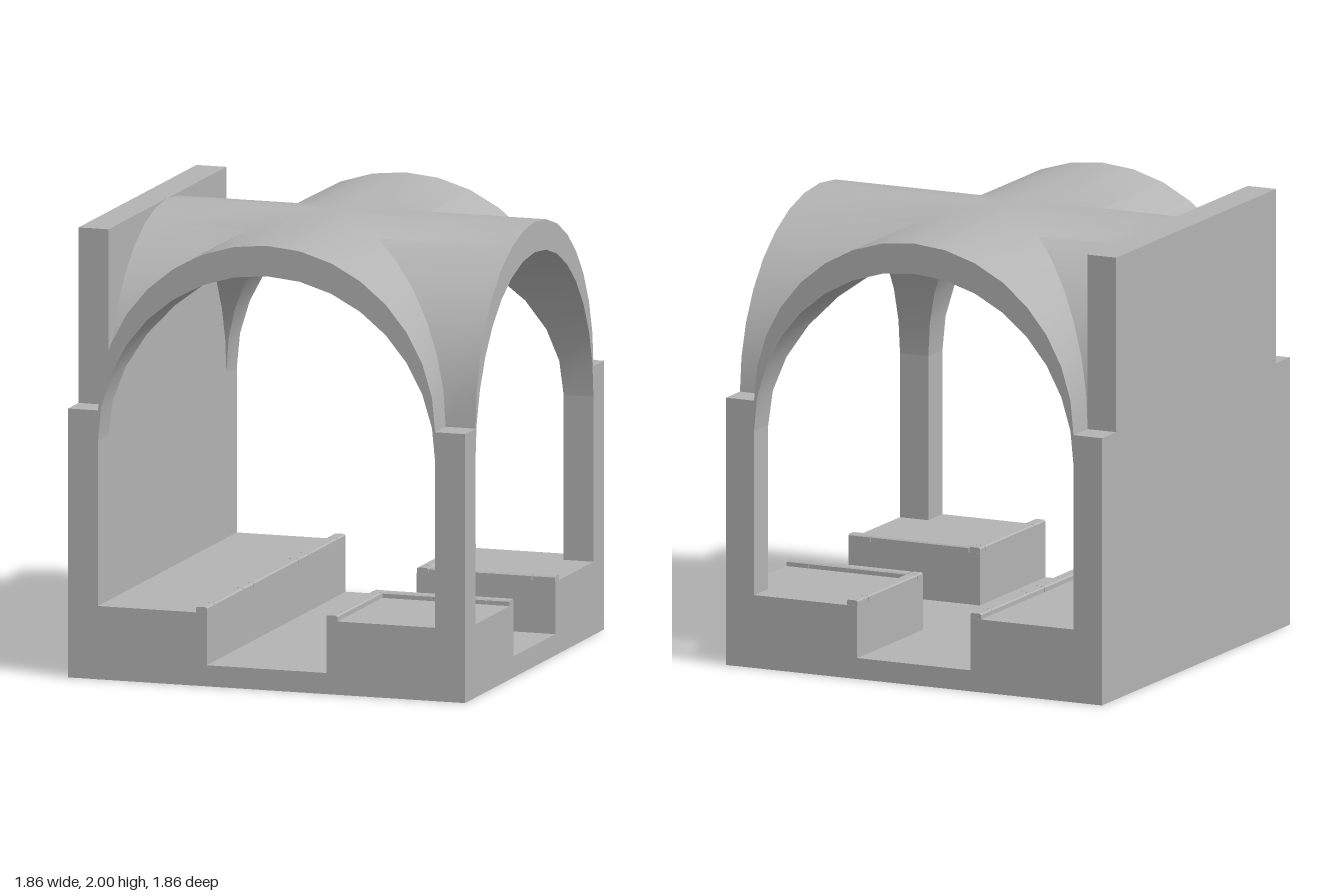
import * as THREE from 'three';
import { toCreasedNormals } from 'three/addons/utils/BufferGeometryUtils.js';

const HALF = 0.93;      // half footprint
const IN = 0.79;        // inner face of posts and wall, also vault radius
const CH = 0.28;        // half width of the channels
const FLOOR = 0.095, WALK = 0.33, SPRING = 1.21, DROP = 0.137, TOP = 2;

const stone = new THREE.MeshStandardMaterial({ color: 0xb4b4b4 });
stone.name = 'stone grey';

export function createModel() {
  const group = new THREE.Group();
  group.name = 'vaultedJunction';

  const add = (name, geometry) => {
    const mesh = new THREE.Mesh(geometry, stone);
    mesh.name = name;
    group.add(mesh);
    return mesh;
  };

  // box given by its min and max corners
  const block = (name, x0, x1, y0, y1, z0, z1) => {
    const mesh = add(name, new THREE.BoxGeometry(x1 - x0, y1 - y0, z1 - z0));
    mesh.position.set((x0 + x1) / 2, (y0 + y1) / 2, (z0 + z1) / 2);
  };

  // floor and raised walkways around the T-shaped channel
  block('channelFloor', -HALF, HALF, 0, FLOOR, -HALF, HALF);
  block('longWalkway', -HALF, -CH, FLOOR, WALK, -HALF, HALF);
  block('frontCornerWalkway', CH, HALF, FLOOR, WALK, CH, HALF);
  block('backCornerWalkway', CH, HALF, FLOOR, WALK, -HALF, -CH);

  // corner posts and the closed side wall
  for (const sx of [-1, 1]) for (const sz of [-1, 1]) {
    const x = sx > 0 ? IN : -HALF, z = sz > 0 ? IN : -HALF;
    block('cornerPost', x, x + HALF - IN, WALK, SPRING, z, z + HALF - IN);
  }
  block('sideWall', -HALF, -IN, WALK, TOP, -IN, IN);

  // chamfered curb stone running along z, centred on its own middle
  const curbGeometry = length => {
    const w = 0.026, h = 0.025, c = 0.006;
    const shape = new THREE.Shape([
      [-w, 0], [w, 0], [w, h - c], [w - c, h], [c - w, h], [-w, h - c],
    ].map(([x, y]) => new THREE.Vector2(x, y)));
    return new THREE.ExtrudeGeometry(shape, { depth: length, bevelEnabled: false })
      .translate(0, 0, -length / 2);
  };
  // row of curb stones between the given joints, along z or x
  const curbRow = (name, joints, offset, alongX) => {
    for (let i = 0; i + 1 < joints.length; i++) {
      const length = Math.abs(joints[i + 1] - joints[i]) - 0.003;
      const mid = (joints[i] + joints[i + 1]) / 2;
      const stoneMesh = add(name, curbGeometry(length));
      if (alongX) stoneMesh.rotation.y = Math.PI / 2;
      stoneMesh.position.set(alongX ? mid : offset, WALK, alongX ? offset : mid);
    }
  };
  const edge = CH + 0.026;
  curbRow('longCurb', [-HALF, -0.82, -0.44, -0.3, 0.3, 0.44, 0.82, HALF], -edge, false);
  for (const s of [-1, 1]) {
    curbRow('cornerCurb', [0.28, 0.333, 0.82, HALF].map(v => v * s), edge, false);
    curbRow('cornerCurb', [0.333, 0.82, HALF], s * edge, true);
  }

  // cross vault: four barrel arms that meet along the diagonals
  const SEG = 16;
  const positions = [];
  for (let arm = 0; arm < 4; arm++) {
    const end = arm === 3 ? 0.85 : HALF;   // this arm stops inside the wall
    const turn = new THREE.Matrix4().makeRotationY(arm * Math.PI / 2);
    const point = (i, inner, atEnd) => {
      const a = Math.PI * i / SEG;
      const x = -IN * Math.cos(a);
      const y = SPRING + (TOP - SPRING) * Math.sin(a) - (inner ? DROP : 0);
      return new THREE.Vector3(x, y, atEnd ? end : Math.abs(x)).applyMatrix4(turn);
    };
    const quad = (a, b, c, d) => {
      for (const p of [a, b, c, a, c, d]) positions.push(p.x, p.y, p.z);
    };
    for (let i = 0; i < SEG; i++) {
      const j = i + 1;
      quad(point(i, false, false), point(i, false, true), point(j, false, true), point(j, false, false));
      quad(point(j, true, false), point(j, true, true), point(i, true, true), point(i, true, false));
      quad(point(i, true, true), point(j, true, true), point(j, false, true), point(i, false, true));
    }
  }
  const vault = new THREE.BufferGeometry();
  vault.setAttribute('position', new THREE.Float32BufferAttribute(positions, 3));
  add('crossVault', toCreasedNormals(vault, 0.6));

  return group;
}
